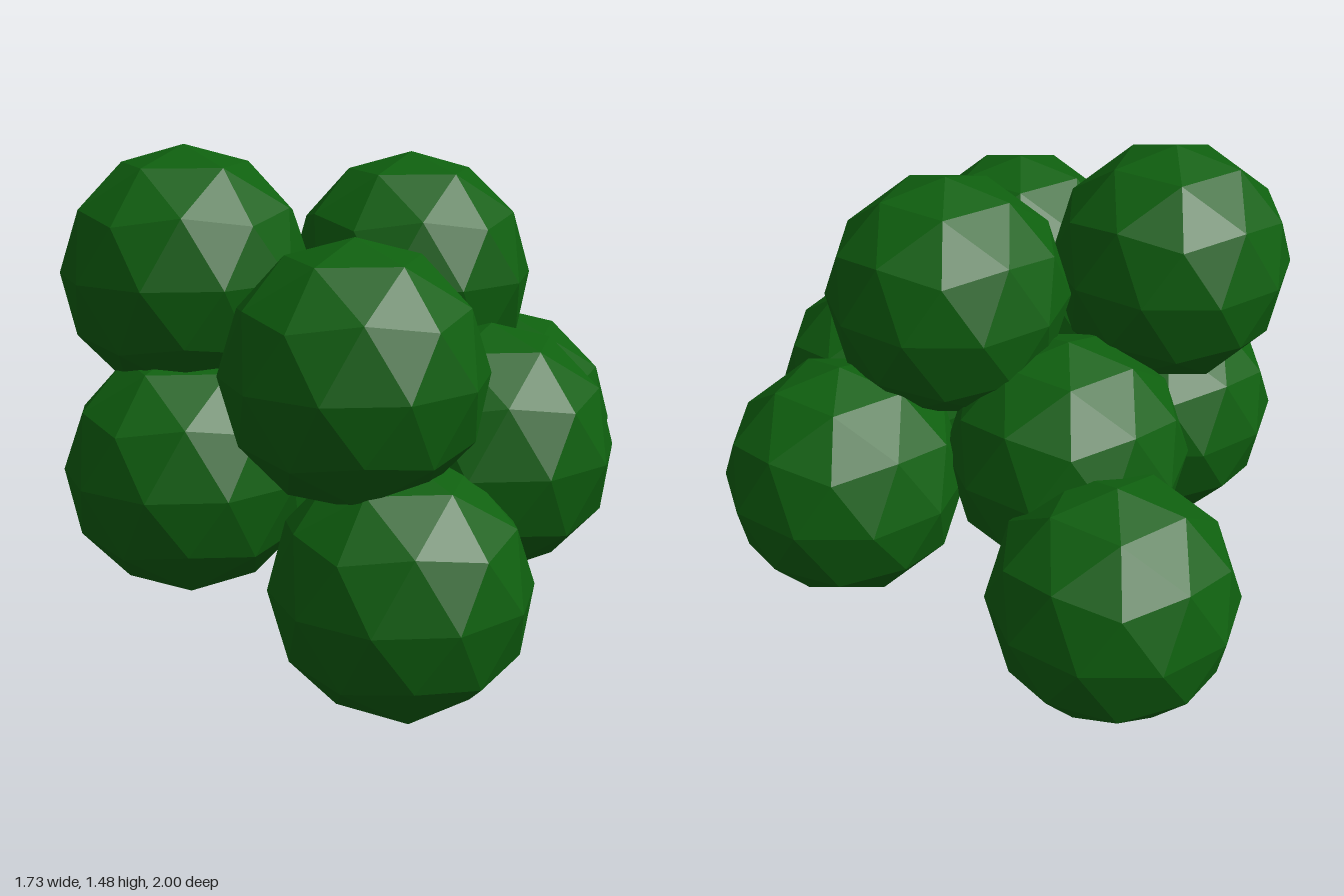
import * as THREE from 'three';

export function createModel() {
  const model = new THREE.Group();
  model.name = 'foliage';

  const leafGreen = new THREE.MeshStandardMaterial({ color: 0x0f600f, flatShading: true });
  leafGreen.name = 'leafGreen';

  // Faceted ball with a corner at each pole and one upper-ring corner toward +x
  const ball = new THREE.IcosahedronGeometry(0.357, 1);
  ball.rotateX(-Math.atan((1 + Math.sqrt(5)) / 2));
  ball.rotateY(Math.PI / 2);
  ball.computeVertexNormals();

  // Leaf clumps: name and centre
  const clumps = [
    ['lowerFrontClump', -0.11, 0.357, 0.643],
    ['upperFrontClump', -0.21, 0.927, 0.558],
    ['topRightClump', -0.492, 1.127, -0.009],
    ['topLeftClump', 0.178, 1.09, 0.044],
    ['leftClump', 0.521, 0.585, -0.028],
    ['frontLeftClump', 0.261, 0.643, 0.411],
    ['rightClump', -0.525, 0.583, 0.095],
    ['lowerBackClump', -0.089, 0.436, -0.643],
    ['middleBackClump', -0.097, 0.665, -0.226],
  ];
  for (const [name, x, y, z] of clumps) {
    const clump = new THREE.Mesh(ball, leafGreen);
    clump.name = name;
    clump.position.set(x, y, z);
    model.add(clump);
  }
  return model;
}
